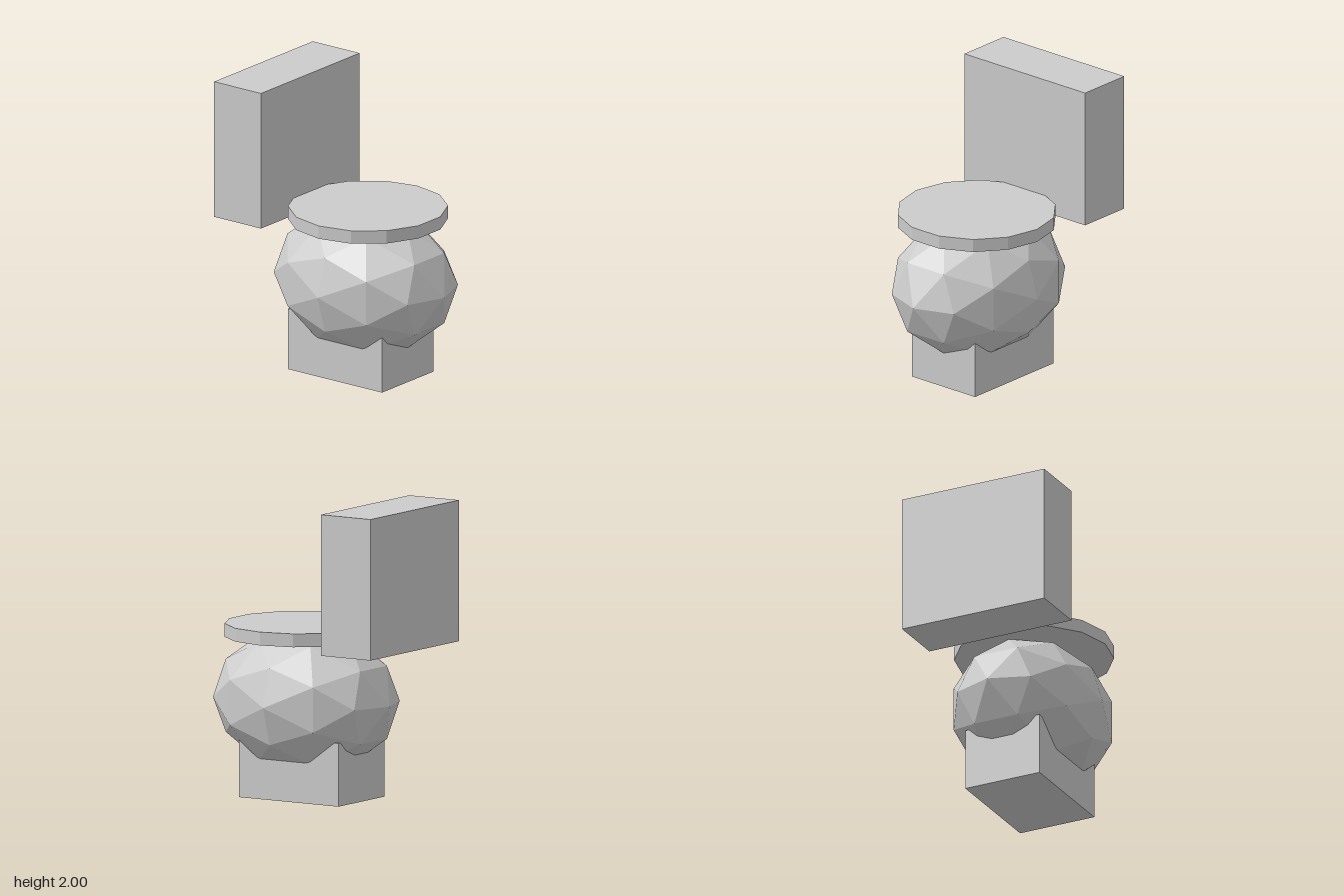
import * as THREE from 'three';

export function createModel() {
  const model = new THREE.Group();
  const material = new THREE.MeshStandardMaterial({ color: 0xcccccc, flatShading: true });

  function add(name, geometry, x, y, z) {
    const mesh = new THREE.Mesh(geometry, material);
    mesh.name = name;
    mesh.position.set(x, y, z);
    model.add(mesh);
    return mesh;
  }

  // Pedestal block, its top cut into by the bowl
  add('pedestal', new THREE.BoxGeometry(0.556, 0.425, 0.795), 0, 0.2125, 0.0575);

  // Faceted bowl: an icosphere stretched front to back
  const bowl = new THREE.IcosahedronGeometry(1, 1).rotateY(Math.PI / 2).scale(0.521, 0.492, 0.664);
  add('bowl', bowl, 0, 0.657, 0.101);

  // Fourteen-sided lid with corners on the x axis
  const lid = new THREE.CylinderGeometry(0.533, 0.533, 0.09, 14).rotateY(Math.PI / 2);
  add('lid', lid, 0, 1.125, 0.119);

  // Tank behind the bowl
  add('tank', new THREE.BoxGeometry(1.066, 0.95, 0.397), 0, 1.525, -0.5675);

  return model;
}
